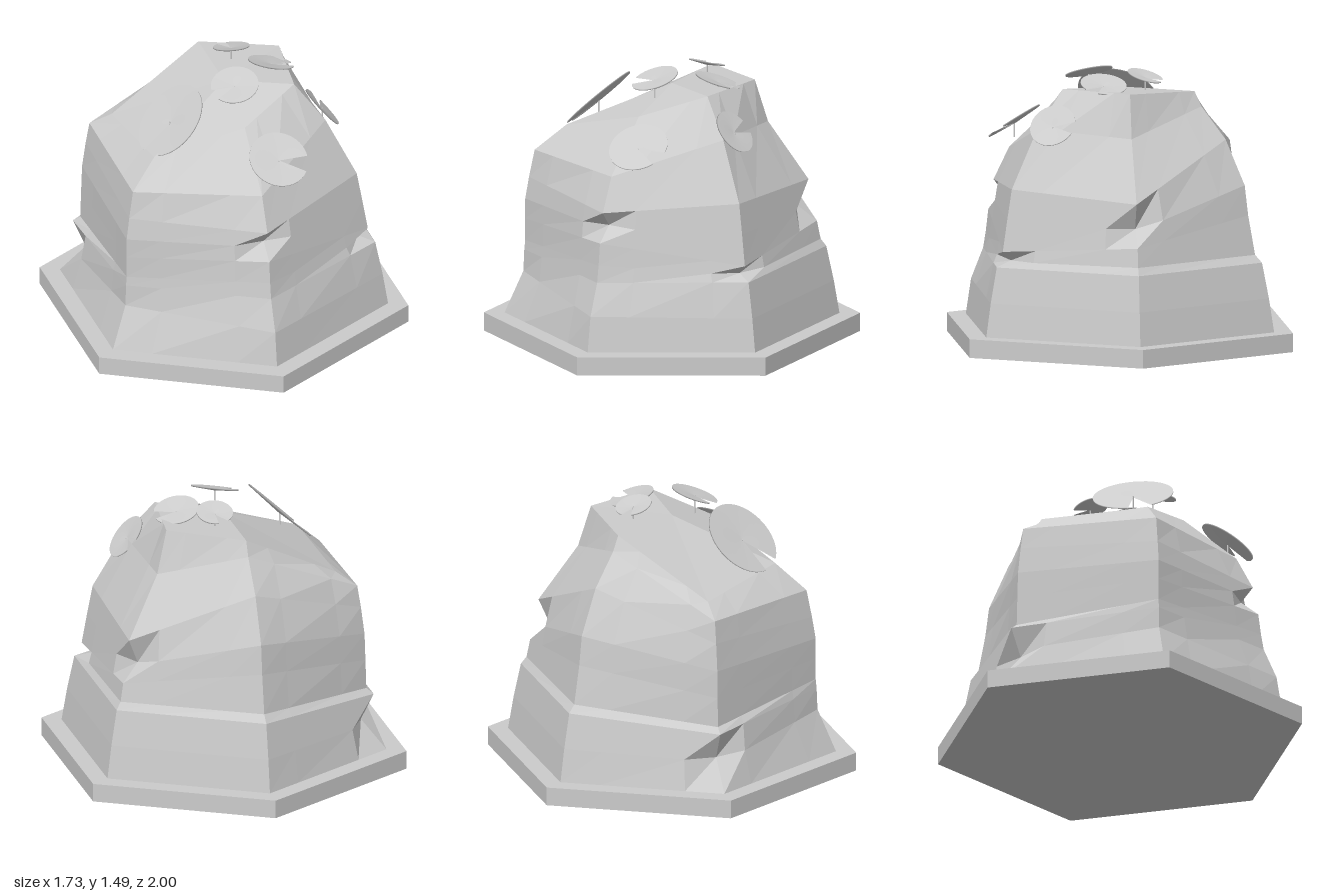
import * as THREE from 'three';

const V = (x, y, z) => new THREE.Vector3(x, y, z);
const mat = new THREE.MeshStandardMaterial({ color: 0xcccccc, flatShading: true });
const padMat = new THREE.MeshStandardMaterial({ color: 0xcccccc, side: THREE.DoubleSide });

function add(parent, name, geometry, material = mat) {
  const mesh = new THREE.Mesh(geometry, material);
  mesh.name = name;
  parent.add(mesh);
  return mesh;
}

// Edge profiles of the six corners as [radius, height], from the front corner round by +x.
// A third value is the depth of a chip in that corner.
const corners = [
  [[.89, .1], [.86, .29], [.79, .46], [.775, .55], [.76, .67], [.745, .75, .08], [.73, .83], [.64, 1.01], [.35, 1.27]],
  [[.89, .1], [.86, .28], [.82, .47], [.795, .5, .07], [.78, .55], [.75, .72], [.72, .88], [.55, 1.19], [.38, 1.39]],
  [[.89, .1], [.86, .28], [.82, .47], [.79, .51], [.77, .61], [.75, .7, .09], [.725, .84], [.51, 1.16], [.44, 1.39]],
  [[.89, .1], [.86, .28], [.82, .47], [.78, .51], [.74, .72], [.72, .88], [.61, 1.12], [.47, 1.29], [.43, 1.37]],
  [[.89, .1], [.85, .26, .1], [.82, .41], [.78, .44], [.775, .6], [.77, .75], [.75, .9], [.73, 1.02], [.61, 1.09]],
  [[.89, .1], [.79, .33], [.785, .45], [.78, .5], [.78, .62], [.78, .73], [.76, .85], [.73, 1.0], [.56, 1.14]],
];

function cornerPoint(i, row, chipped) {
  const [r, y, chip = 0] = corners[i % 6][row];
  const a = i * Math.PI / 3, radius = chipped ? r - chip : r;
  return V(Math.sin(a) * radius, y, Math.cos(a) * radius);
}

// Rock: each ring has its corners plus two points on every side, which bound the chips
function rockGeometry() {
  const rows = corners[0].length, cols = 18, pos = [], index = [];
  for (let row = 0; row < rows; row++) {
    for (let i = 0; i < 6; i++) {
      const a = cornerPoint(i, row, false), b = cornerPoint(i + 1, row, false);
      pos.push(...cornerPoint(i, row, true).toArray());
      for (const t of [.24, .76]) pos.push(...a.clone().lerp(b, t).toArray());
    }
  }
  pos.push(0, 1.37, 0);
  for (let k = 0; k < cols; k++) {
    const n = (k + 1) % cols;
    for (let row = 0; row < rows - 1; row++) {
      const a = row * cols + k, b = row * cols + n;
      index.push(a, b, b + cols, a, b + cols, a + cols);
    }
    index.push((rows - 1) * cols + k, (rows - 1) * cols + n, rows * cols);
  }
  const g = new THREE.BufferGeometry();
  g.setAttribute('position', new THREE.Float32BufferAttribute(pos, 3));
  g.setIndex(index);
  const flat = g.toNonIndexed();
  flat.computeVertexNormals();
  return flat;
}

// Lily pad: shallow dish with a wedge cut towards its own +z, on a thin stem
function lilyPad({ at, normal, notch, r, stem }) {
  const pad = new THREE.Group();
  pad.name = 'lilyPad';
  const profile = [[0, -.014], [r, -.003], [r, .004], [0, -.008]].map(p => new THREE.Vector2(...p));
  const gap = .62;
  add(pad, 'leaf', new THREE.LatheGeometry(profile, 32, gap / 2, Math.PI * 2 - gap), padMat);
  const y = V(...normal).normalize();
  const x = y.clone().cross(V(...notch)).normalize();
  pad.quaternion.setFromRotationMatrix(new THREE.Matrix4().makeBasis(x, y, x.clone().cross(y)));
  pad.position.set(...at);
  const group = new THREE.Group();
  group.name = 'lilyPadWithStem';
  group.add(pad);
  const stalk = add(group, 'stem', new THREE.CylinderGeometry(.004, .004, stem, 6));
  stalk.position.set(at[0], at[1] - stem / 2 - .008, at[2]);
  return group;
}

const pads = [
  { at: [-.355, 1.28, .165], normal: [-.68, .72, .08], notch: [-.48, -.4, .24], r: .215, stem: .08 },
  { at: [.12, 1.17, .56], normal: [.05, .83, .55], notch: [.9, 0, .35], r: .16, stem: .08 },
  { at: [.49, 1.215, .18], normal: [.76, .64, 0], notch: [.05, 0, -1], r: .125, stem: .06 },
  { at: [0, 1.44, .18], normal: [-.18, .93, .27], notch: [-.95, 0, .2], r: .127, stem: .1 },
  { at: [.27, 1.418, -.02], normal: [.23, .94, -.2], notch: [1, 0, .12], r: .123, stem: .05 },
  { at: [.105, 1.452, -.19], normal: [.03, .95, -.3], notch: [-.25, 0, -1], r: .097, stem: .09 },
];

export function createModel() {
  const model = new THREE.Group();
  model.name = 'rockWithLilyPads';

  // Hexagonal plinth
  const base = add(model, 'base', new THREE.CylinderGeometry(1, 1, .1, 6));
  base.position.y = .05;

  add(model, 'rock', rockGeometry());
  for (const p of pads) model.add(lilyPad(p));
  return model;
}
